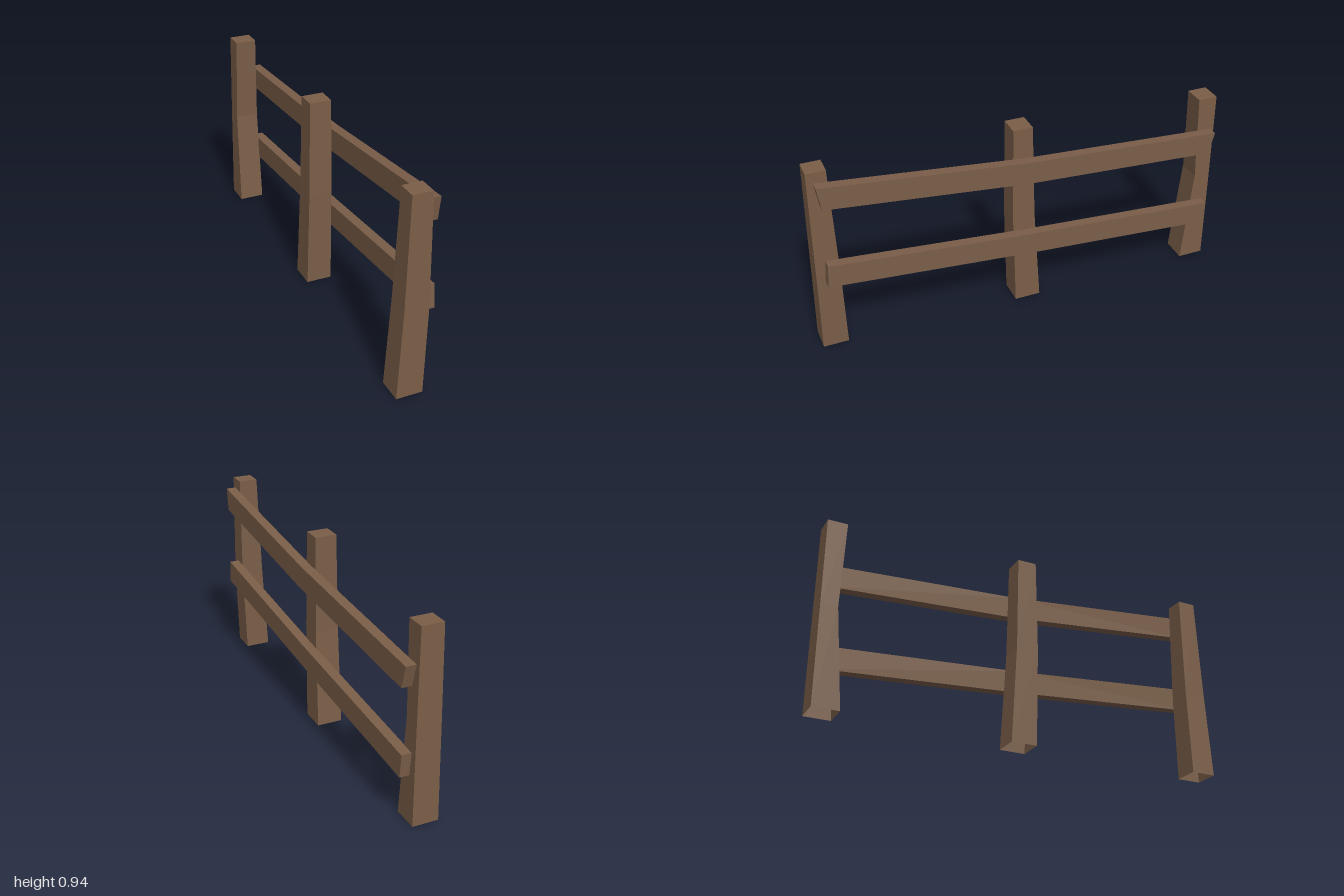
import * as THREE from 'three';

const wood = new THREE.MeshStandardMaterial({ color: 0x7a5e48, side: THREE.DoubleSide, flatShading: true });
wood.name = 'brown wood';

// Tapered post with an open base; each section is [y, xMin, xMax, zMin, zMax]
function makePost(name, sections) {
  const positions = [];
  const quad = (a, b, c, d) => positions.push(...a, ...b, ...c, ...a, ...c, ...d);
  const rings = sections.map(([y, x0, x1, z0, z1]) =>
    [[x0, y, z1], [x1, y, z1], [x1, y, z0], [x0, y, z0]]);
  for (let i = 0; i < rings.length - 1; i++) {
    for (let k = 0; k < 4; k++) {
      const n = (k + 1) % 4;
      quad(rings[i][k], rings[i][n], rings[i + 1][n], rings[i + 1][k]);
    }
  }
  quad(...rings[rings.length - 1]);
  const geometry = new THREE.BufferGeometry();
  geometry.setAttribute('position', new THREE.Float32BufferAttribute(positions, 3));
  geometry.computeVertexNormals();
  const mesh = new THREE.Mesh(geometry, wood);
  mesh.name = name;
  return mesh;
}

// Plank with a bend at the middle post; the outline is [z, y] and its thickness runs along x
function makeRail(name, outline) {
  const shape = new THREE.Shape(outline.map(([z, y]) => new THREE.Vector2(-z, y)));
  const geometry = new THREE.ExtrudeGeometry(shape, { depth: 0.048, bevelEnabled: false });
  geometry.rotateY(Math.PI / 2);
  geometry.translate(0.043, 0, 0);
  const mesh = new THREE.Mesh(geometry, wood);
  mesh.name = name;
  return mesh;
}

export function createModel() {
  const fence = new THREE.Group();
  fence.name = 'fence';

  // Posts
  fence.add(
    makePost('frontPost', [
      [0, -0.093, 0.03, 0.88, 1],
      [0.42, -0.07, 0.044, 0.885, 0.994],
      [0.945, -0.053, 0.04, 0.895, 0.985],
    ]),
    makePost('middlePost', [
      [0, -0.077, 0.046, -0.083, 0.043],
      [0.48, -0.07, 0.044, -0.054, 0.055],
      [0.945, -0.063, 0.04, -0.044, 0.05],
    ]),
    makePost('backPost', [
      [0, -0.077, 0.046, -1, -0.875],
      [0.48, -0.07, 0.044, -0.997, -0.917],
      [0.905, -0.063, 0.04, -0.994, -0.9],
    ]),
  );

  // Rails
  fence.add(
    makeRail('upperRail', [
      [0.957, 0.897], [0.94, 0.785], [0, 0.686], [-0.947, 0.63], [-0.975, 0.736], [0, 0.796],
    ]),
    makeRail('lowerRail', [
      [0.945, 0.49], [0.955, 0.379], [0, 0.296], [-0.957, 0.226], [-0.967, 0.336], [0, 0.405],
    ]),
  );
  return fence;
}
